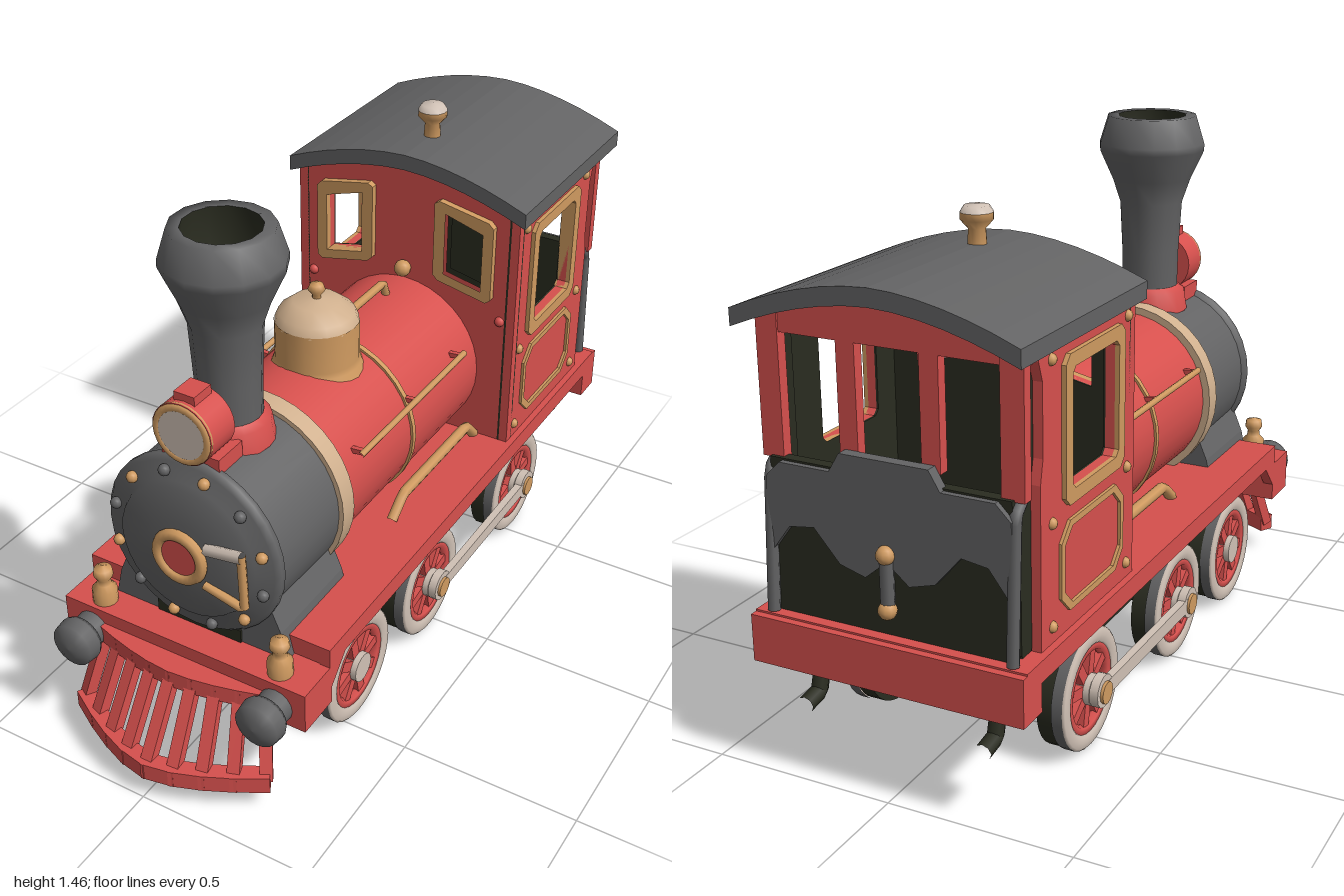
import * as THREE from 'three';

const mat = (name, color) => {
  const m = new THREE.MeshStandardMaterial({ color });
  m.name = name;
  return m;
};
const V = (x, y, z) => new THREE.Vector3(x, y, z);
const SIDES = [1, -1];

export function createModel() {
  const red = mat('red paint', 0xd6504d), grey = mat('grey iron', 0x636364), dark = mat('dark iron', 0x2a2c20);
  const brass = mat('brass', 0xcf9a60), pale = mat('pale brass', 0xd0b08e), cream = mat('cream', 0xd0c1b5);
  const root = new THREE.Group();
  root.name = 'steamLocomotive';

  // Helpers
  const add = (name, geo, m, x = 0, y = 0, z = 0, parent = root) => {
    const mesh = new THREE.Mesh(geo, m);
    mesh.name = name;
    mesh.position.set(x, y, z);
    parent.add(mesh);
    return mesh;
  };
  const box = (name, m, w, h, d, x, y, z, parent) => add(name, new THREE.BoxGeometry(w, h, d), m, x, y, z, parent);
  const cyl = (r1, r2, h, n = 24, open = false) => new THREE.CylinderGeometry(r1, r2, h, n, 1, open);
  const lathe = (pts, n = 24) => new THREE.LatheGeometry(pts.map(p => new THREE.Vector2(...p)), n);
  const alongZ = g => g.rotateX(Math.PI / 2);
  const alongX = g => g.rotateZ(Math.PI / 2);
  const poly = (pts, ...holes) => {
    const s = new THREE.Shape(pts.map(p => new THREE.Vector2(...p)));
    s.holes = holes.map(h => new THREE.Path(h.map(p => new THREE.Vector2(...p))));
    return s;
  };
  const extrude = (shape, depth) => new THREE.ExtrudeGeometry(shape, { depth, bevelEnabled: false });
  // Rectangle with clipped corners
  const rect = (x0, y0, x1, y1, c = 0.015) => [[x0 + c, y0], [x1 - c, y0], [x1, y0 + c], [x1, y1 - c],
    [x1 - c, y1], [x0 + c, y1], [x0, y1 - c], [x0, y0 + c]];
  // Plate drawn in (z, y), with its outer face at x on side s
  const sidePlate = (name, m, shape, depth, x, s) => {
    const g = extrude(shape, depth).rotateY(-Math.PI / 2);
    return add(name, g, m, s > 0 ? x : -x + depth);
  };
  const pipe = (name, m, pts, r) => {
    const path = new THREE.CurvePath();
    for (let i = 1; i < pts.length; i++) path.add(new THREE.LineCurve3(pts[i - 1], pts[i]));
    return add(name, new THREE.TubeGeometry(path, (pts.length - 1) * 8, r, 8), m);
  };
  const rod = (name, m, a, b, w, d) => {
    const mesh = box(name, m, w, d, a.distanceTo(b), 0, 0, 0);
    mesh.position.copy(a).lerp(b, 0.5);
    mesh.lookAt(b);
    return mesh;
  };
  const ball = (name, m, r, x, y, z) => add(name, new THREE.SphereGeometry(r, 10, 8), m, x, y, z);

  // Footplate, beams and chassis
  box('footplate', red, 0.75, 0.055, 1.66, 0, 0.4, -0.15);
  box('footplateUnderside', dark, 0.7, 0.012, 1.6, 0, 0.368, -0.14);
  box('frontBeam', red, 0.75, 0.12, 0.13, 0, 0.31, 0.735);
  box('rearBeam', red, 0.75, 0.125, 0.09, 0, 0.36, -0.955);
  const frame = poly([[0.66, 0.37], [0.62, 0.28], [0.5, 0.2], [-0.7, 0.19], [-0.9, 0.24], [-0.92, 0.37]]);
  add('chassis', extrude(frame, 0.46).rotateY(-Math.PI / 2), dark, 0.23);
  for (const s of SIDES) {
    sidePlate('beamGusset', red, poly([[0.68, 0.38], [0.68, 0.29], [0.6, 0.375]]), 0.03, 0.375, s);
    pipe('rearStep', dark, [V(s * 0.25, 0.31, -0.88), V(s * 0.25, 0.2, -0.91), V(s * 0.25, 0.19, -0.97)], 0.022);
    for (const z of [0.22, 0.27]) box('brakeHanger', dark, 0.03, 0.13, 0.02, s * 0.24, 0.18, z);
  }

  // Wheels: dark back and tread, pale rim on the outer face only
  for (const s of SIDES) {
    [0.44, 0.03, -0.54].forEach((z, i) => {
      const w = new THREE.Group();
      w.name = 'wheel';
      w.position.set(s * 0.29, 0.162, z);
      root.add(w);
      add('wheelBack', alongX(cyl(0.158, 0.158, 0.045, 32)), dark, -s * 0.02, 0, 0, w);
      add('tread', alongX(cyl(0.162, 0.162, 0.03, 32, true)), grey, s * 0.015, 0, 0, w);
      add('tyre', new THREE.TorusGeometry(0.14, 0.022, 8, 32).scale(1, 1, 0.35).rotateY(Math.PI / 2), cream, s * 0.03, 0, 0, w);
      add('innerRim', new THREE.TorusGeometry(0.112, 0.016, 6, 28).rotateY(Math.PI / 2), red, s * 0.018, 0, 0, w);
      for (let k = 0; k < 4; k++) {
        box('spoke', red, 0.024, 0.23, 0.03, s * 0.016, 0, 0, w).rotation.x = k * Math.PI / 4 + 0.2;
      }
      add('hub', alongX(cyl(0.042, 0.042, 0.04, 14)), cream, s * 0.025, 0, 0, w);
      if (i) add('crankPin', alongX(cyl(0.03, 0.03, 0.06, 12)), brass, s * 0.05, 0, 0, w);
    });
    box('couplingRod', cream, 0.022, 0.04, 0.57, s * 0.352, 0.165, -0.255);
    for (const z of [0.03, -0.54]) add('rodEnd', alongX(cyl(0.045, 0.045, 0.024, 14)), cream, s * 0.35, 0.165, z);
  }
  for (const z of [0.44, 0.03, -0.54]) add('axle', alongX(cyl(0.025, 0.025, 0.52, 10)), dark, 0, 0.162, z);

  // Boiler, bands, smokebox and saddle
  const BY = 0.642;
  add('boiler', alongZ(cyl(0.247, 0.247, 0.78, 36)), red, 0, BY, 0.01);
  add('frontBand', alongZ(cyl(0.268, 0.268, 0.055, 36)), pale, 0, BY, 0.405);
  add('middleBand', alongZ(cyl(0.254, 0.254, 0.016, 36)), brass, 0, BY, 0.025);
  add('smokebox', alongZ(cyl(0.25, 0.255, 0.29, 32)), grey, 0, BY, 0.57);
  add('saddle', extrude(poly([[-0.27, 0.365], [0.27, 0.365], [0.25, 0.45], [0.22, 0.52], [0.2, 0.6], [-0.2, 0.6], [-0.22, 0.52], [-0.25, 0.45]]), 0.3), grey, 0, 0, 0.41);
  box('saddleShadowPlate', dark, 0.26, 0.04, 0.008, 0, 0.39, 0.712);
  add('smokeboxDoor', alongZ(lathe([[0.25, 0.69], [0.262, 0.7], [0.262, 0.715], [0.25, 0.73], [0.2, 0.74], [0.192, 0.758], [0.1, 0.772], [0, 0.775]], 32)), grey, 0, BY, 0);
  for (let k = 0; k < 12; k++) {
    const a = (k + 0.5) * Math.PI / 6;
    ball('doorRivet', k % 2 ? grey : brass, 0.016, Math.cos(a) * 0.228, BY + Math.sin(a) * 0.228, 0.74);
  }
  add('doorRing', new THREE.TorusGeometry(0.066, 0.016, 8, 24), brass, 0, BY, 0.778);
  add('doorCentre', alongZ(cyl(0.06, 0.06, 0.02)), red, 0, BY, 0.773);
  pipe('doorHandle', cream, [V(0.08, 0.695, 0.775), V(0.195, 0.722, 0.785)], 0.016);
  pipe('doorLatch', brass, [V(0.18, 0.715, 0.77), V(0.185, 0.545, 0.77), V(0.07, 0.58, 0.775)], 0.012);

  // Chimney
  add('chimneyBase', lathe([[0.115, 0.87], [0.105, 0.93], [0.085, 0.945]], 20), red, 0, 0, 0.535);
  add('chimney', lathe([[0.084, 0.92], [0.086, 1.05], [0.094, 1.2], [0.118, 1.27], [0.157, 1.355], [0.157, 1.375], [0.132, 1.455], [0.1, 1.455]], 14), grey, 0, 0, 0.535);
  add('chimneyBore', lathe([[0.1, 1.455], [0.11, 1.36], [0.07, 1.2], [0, 1.15]], 14), dark, 0, 0, 0.535);

  // Headlamp
  box('lampBracket', red, 0.17, 0.045, 0.1, 0, 0.9, 0.66);
  add('lampBody', alongZ(cyl(0.086, 0.086, 0.1)), red, 0, 0.985, 0.688);
  box('lampCap', red, 0.06, 0.04, 0.07, 0, 1.07, 0.685);
  add('lampRim', new THREE.TorusGeometry(0.074, 0.013, 8, 24), brass, 0, 0.985, 0.732);
  add('lampLens', alongZ(cyl(0.068, 0.068, 0.008)), cream, 0, 0.985, 0.738);

  // Steam dome
  add('domeBase', lathe([[0.13, 0.85], [0.12, 0.875], [0.115, 0.89], [0.115, 1.0]]), brass, 0, 0, 0.12);
  add('domeCap', lathe([[0.115, 0.995], [0.104, 1.022], [0.065, 1.053], [0, 1.062]], 16), pale, 0, 0, 0.12);
  add('domeFinial', lathe([[0.012, 1.05], [0.012, 1.07], [0.024, 1.085], [0.018, 1.1], [0, 1.106]], 12), brass, 0, 0, 0.12);

  // Handrails and pipes
  pipe('topHandle', brass, [V(0, 0.88, -0.03), V(0, 0.93, -0.04), V(0, 0.93, -0.24), V(0, 0.88, -0.26)], 0.012);
  for (const s of SIDES) {
    pipe('sideHandrail', brass, [V(s * 0.252, 0.76, 0.32), V(s * 0.252, 0.76, -0.27)], 0.009);
    for (const z of [0.3, 0.02, -0.25]) rod('railPost', red, V(s * 0.2, 0.755, z), V(s * 0.252, 0.76, z), 0.014, 0.014);
    pipe('lowerPipe', brass, [V(s * 0.25, 0.43, 0.14), V(s * 0.25, 0.482, 0.075), V(s * 0.25, 0.482, -0.31), V(s * 0.25, 0.43, -0.36)], 0.016);
  }

  // Cab side walls with window frames and panels
  const wall = [[-0.37, 0.42], [-0.37, 1.18], [-0.88, 1.18], [-0.88, 1.13], [-0.862, 1.08], [-0.862, 0.9], [-0.875, 0.84], [-0.875, 0.42]];
  const opening = rect(-0.735, 0.785, -0.485, 1.08);
  for (const s of SIDES) {
    sidePlate('cabSide', red, poly(wall, opening), 0.025, 0.356, s);
    sidePlate('cabSideLining', dark, poly(wall, opening), 0.006, 0.331, s);
    sidePlate('sideWindowFrame', brass, poly(rect(-0.77, 0.75, -0.45, 1.115, 0.022), opening), 0.042, 0.368, s);
    sidePlate('sidePanelFrame', brass, poly(rect(-0.785, 0.48, -0.445, 0.71, 0.045), rect(-0.768, 0.497, -0.462, 0.693, 0.04)), 0.018, 0.364, s);
    for (const z of [-0.415, -0.82]) for (const y of [0.47, 0.73, 1.12]) ball('sideRivet', brass, 0.015, s * 0.355, y, z);
    box('rearCornerPost', red, 0.06, 0.36, 0.03, s * 0.322, 1.0, -0.925);
    box('rearCornerLining', dark, 0.012, 0.75, 0.075, s * 0.325, 0.81, -0.887);
    box('rearPost', red, 0.05, 0.34, 0.03, s * 0.11, 1.02, -0.92);
  }

  // Cab front wall with slanted windows
  const roofY = x => 1.283 - 0.09 * Math.pow(Math.abs(x) / 0.38, 1.8);
  const arc = (half, drop) => Array.from({ length: 13 }, (_, i) => {
    const x = -half + half * i / 6;
    return [x, roofY(x) - drop];
  });
  const hole = s => [[-0.253, 0.92], [-0.135, 0.945], [-0.135, 1.135], [-0.253, 1.1]].map(([x, y]) => [s * x, y]);
  const rim = s => [[-0.285, 0.9], [-0.27, 0.888], [-0.115, 0.92], [-0.1, 0.935], [-0.1, 1.16], [-0.115, 1.17], [-0.27, 1.14], [-0.285, 1.125]].map(([x, y]) => [s * x, y]);
  const front = poly([...arc(0.356, 0.03), [0.356, 0.42], [-0.356, 0.42]], hole(1), hole(-1));
  add('cabFront', extrude(front, 0.025), red, 0, 0, -0.395);
  add('cabFrontLining', extrude(front, 0.006), dark, 0, 0, -0.401);
  for (const s of SIDES) {
    add('frontWindowFrame', extrude(poly(rim(s), hole(s)), 0.045), brass, 0, 0, -0.395);
    ball('frontRivet', red, 0.015, s * 0.31, 0.83, -0.37);
  }
  ball('boilerKnob', brass, 0.025, 0, 0.925, -0.355);

  // Cab rear: header, tailboard, draped plate and latch
  add('rearHeader', extrude(poly([...arc(0.352, 0.03), [0.352, 1.13], [-0.352, 1.13]]), 0.035), red, 0, 0, -0.935);
  box('cabFloor', dark, 0.66, 0.012, 0.52, 0, 0.434, -0.66);
  box('tailboard', dark, 0.65, 0.4, 0.03, 0, 0.625, -0.935);
  const drape = poly([[-0.33, 0.58], [-0.27, 0.66], [-0.2, 0.67], [-0.13, 0.59], [-0.06, 0.57], [0, 0.62], [0.06, 0.57], [0.13, 0.59], [0.2, 0.67], [0.27, 0.66], [0.33, 0.58],
    [0.33, 0.78], [0.29, 0.82], [0.15, 0.82], [0.12, 0.87], [-0.12, 0.87], [-0.15, 0.82], [-0.29, 0.82], [-0.33, 0.78]]);
  add('tailPlate', extrude(drape, 0.03), grey, 0, 0, -0.965);
  for (const s of SIDES) pipe('tailRail', grey, [V(s * 0.33, 0.83, -0.9), V(s * 0.33, 0.79, -0.945), V(s * 0.33, 0.43, -0.965)], 0.016);
  pipe('tailLatch', grey, [V(0, 0.64, -0.965), V(0, 0.49, -0.965)], 0.018);
  for (const y of [0.64, 0.5]) ball('latchKnob', brass, 0.024, 0, y, -0.968);

  // Roof and vent
  add('roof', extrude(poly([...arc(0.378, 0), ...arc(0.378, 0.045).reverse()]), 0.65), grey, 0, 0, -1);
  add('roofVent', lathe([[0.025, 1.27], [0.022, 1.32], [0.042, 1.342], [0.042, 1.36]], 14), brass, 0, 0, -0.515);
  add('roofVentCap', lathe([[0.042, 1.36], [0.032, 1.376], [0, 1.38]], 14), cream, 0, 0, -0.515);

  // Buffers and brass lamp posts
  for (const s of SIDES) {
    add('bufferStem', alongZ(cyl(0.045, 0.05, 0.08, 16)), grey, s * 0.288, 0.302, 0.83);
    add('bufferHead', alongZ(lathe([[0, 0.84], [0.06, 0.842], [0.066, 0.855], [0.062, 0.89], [0.03, 0.905], [0, 0.908]], 20)), grey, s * 0.288, 0.302, 0);
    add('frontPost', lathe([[0.034, 0.365], [0.034, 0.41], [0.02, 0.425], [0.018, 0.44], [0.027, 0.455], [0.024, 0.475], [0, 0.483]], 14), brass, s * 0.275, 0, 0.755);
  }

  // Cowcatcher: bowed bars joined by sloping slats
  const top = t => V(t * 0.25, 0.305, 0.84 - 0.05 * Math.pow(Math.abs(t), 1.6));
  const low = t => V(t * 0.29, 0.088, 0.975 - 0.12 * Math.pow(Math.abs(t), 1.5));
  for (let k = -4; k < 4; k++) {
    const a = k / 4 - 0.03, b = (k + 1) / 4 + 0.03;
    rod('catcherTopBar', red, top(a), top(b), 0.05, 0.05);
    rod('catcherLowBar', red, low(a), low(b), 0.045, 0.05);
  }
  box('catcherMount', red, 0.46, 0.05, 0.04, 0, 0.305, 0.8);
  for (let k = -4; k <= 4; k++) rod('catcherSlat', red, top(k / 4), low(k / 4), 0.034, 0.03);
  return root;
}
